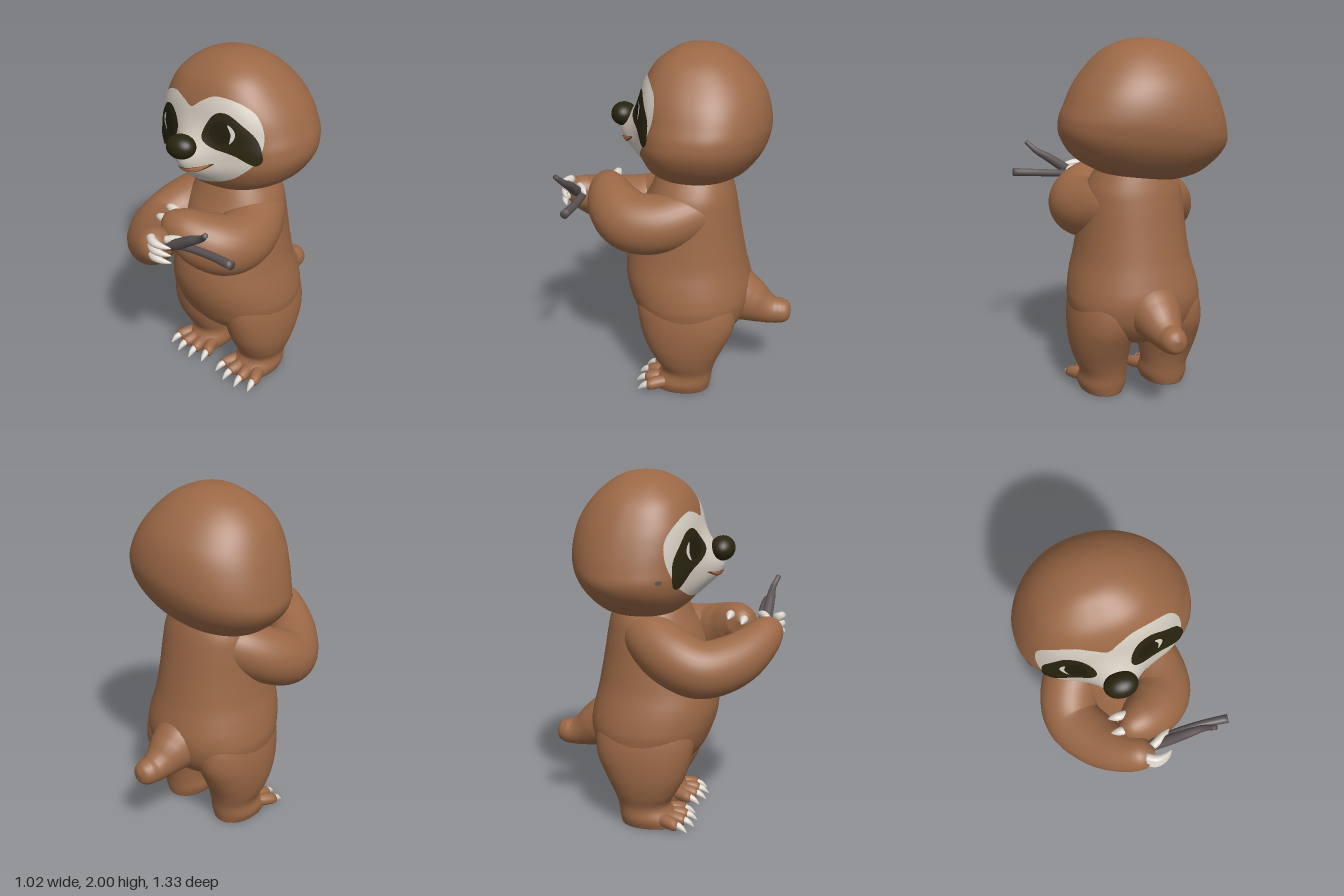
import * as THREE from 'three';

const mat = (name, color) => {
  const m = new THREE.MeshStandardMaterial({ color });
  m.name = name;
  return m;
};
const fur = mat('brown fur', 0x9b6846);
const cream = mat('cream face', 0xd2cabe);
const dark = mat('dark olive', 0x28240f);
const eyeDark = mat('eye black', 0x211e0d);
const claw = mat('claw white', 0xdcd6cc);
const wood = mat('grey wood', 0x5c5353);
const lip = mat('lip brown', 0x6e4228);
const mouth = mat('mouth orange', 0xc4835a);

const V = (x, y, z) => new THREE.Vector3(x, y, z);

function mesh(parent, name, geometry, material) {
  const m = new THREE.Mesh(geometry, material);
  m.name = name;
  parent.add(m);
  return m;
}

// Smooth interpolation between table rows, t from 0 to 1
function sample(rows, t) {
  const f = t * (rows.length - 1), i = Math.min(Math.floor(f), rows.length - 2), u = f - i;
  const at = k => rows[Math.max(0, Math.min(rows.length - 1, k))];
  return rows[0].map((_, c) => {
    const a = at(i - 1)[c], b = at(i)[c], d = at(i + 1)[c], e = at(i + 2)[c];
    const m0 = (d - a) / 2, m1 = (e - b) / 2;
    return b + u * (m0 + u * (3 * (d - b) - 2 * m0 - m1 + u * (2 * (b - d) + m0 + m1)));
  });
}

// Closed skin over a stack of rings
function skin(rings) {
  const n = rings[0].length, pos = [], idx = [];
  rings.flat().forEach(p => pos.push(p.x, p.y, p.z));
  const last = (rings.length - 1) * n, c0 = rings.length * n;
  for (const ring of [rings[0], rings[rings.length - 1]]) {
    const c = ring.reduce((s, p) => s.add(p), V(0, 0, 0)).divideScalar(n);
    pos.push(c.x, c.y, c.z);
  }
  for (let j = 0; j < n; j++) {
    const k = (j + 1) % n;
    for (let o = 0; o < last; o += n) idx.push(o + j, o + n + j, o + k, o + k, o + n + j, o + n + k);
    idx.push(c0, j, k, c0 + 1, last + k, last + j);
  }
  const g = new THREE.BufferGeometry();
  g.setAttribute('position', new THREE.Float32BufferAttribute(pos, 3));
  g.setIndex(idx);
  g.computeVertexNormals();
  return g;
}

// Upright form; rows are [y, centre x, half width, front z, back z]
function loft(rows, [frontPower, backPower], steps, sides, bump = () => 0) {
  return skin(Array.from({ length: steps + 1 }, (_, i) => {
    const [y, cx, rx, zf, zb] = sample(rows, i / steps);
    return Array.from({ length: sides }, (_, j) => {
      const a = j / sides * Math.PI * 2, s = Math.sin(a);
      const pw = v => Math.sign(v) * Math.abs(v) ** (2 / (s > 0 ? frontPower : backPower));
      const x = cx + rx * pw(Math.cos(a));
      return V(x, y, (zf + zb) / 2 + (zf - zb) / 2 * pw(s) + (s > 0 ? bump(x, y) : 0));
    });
  }));
}

// Round form along a path; points are [x, y, z, radius]
function limb(pts, steps = 40, sides = 24) {
  const curve = new THREE.CatmullRomCurve3(pts.map(p => V(p[0], p[1], p[2])));
  const fr = curve.computeFrenetFrames(steps, false);
  const squares = pts.map(p => [p[3] * p[3]]);
  return skin(Array.from({ length: steps + 1 }, (_, i) => {
    const c = curve.getPointAt(i / steps);
    const r = Math.sqrt(Math.max(1e-6, sample(squares, curve.getUtoTmapping(i / steps))[0]));
    return Array.from({ length: sides }, (_, j) => {
      const a = j / sides * Math.PI * 2;
      return c.clone().addScaledVector(fr.normals[i], r * Math.cos(a))
        .addScaledVector(fr.binormals[i], -r * Math.sin(a));
    });
  }));
}

const HEAD = [
  [-0.36, 0, 0.01, -0.09, -0.12], [-0.35, 0, 0.13, 0.02, -0.2], [-0.33, 0, 0.22, 0.08, -0.28],
  [-0.27, 0, 0.36, 0.15, -0.38], [-0.17, 0, 0.45, 0.195, -0.46], [-0.08, -0.007, 0.477, 0.2, -0.495],
  [0, -0.005, 0.458, 0.2, -0.505], [0.1, 0, 0.42, 0.2, -0.49], [0.2, 0, 0.365, 0.185, -0.45],
  [0.3, 0, 0.29, 0.135, -0.37], [0.37, 0, 0.195, 0.05, -0.28], [0.405, 0, 0.1, -0.02, -0.2],
  [0.415, 0, 0.01, -0.1, -0.13]];
const FACE_POWER = 2.45;
const muzzle = (x, y) => 0.125 * Math.exp(-((x / 0.13) ** 2) - (((y + 0.08) / 0.135) ** 2));

// Front surface of the head at a given x, y
function faceZ(x, y) {
  let lo = 0, hi = 1;
  for (let i = 0; i < 24; i++) {
    const m = (lo + hi) / 2;
    if (sample(HEAD, m)[0] < y) lo = m; else hi = m;
  }
  const [, cx, rx, zf, zb] = sample(HEAD, lo);
  const k = Math.max(0, 1 - Math.abs((x - cx) / rx) ** FACE_POWER) ** (1 / FACE_POWER);
  return (zf + zb) / 2 + (zf - zb) / 2 * k + muzzle(x, y);
}

// Painted patch that follows the face, filled outward from a centre
function patch(outline, [cx, cy], lift, side = 1) {
  const curve = new THREE.CatmullRomCurve3(outline.map(([x, y]) => V(x * side, y, 0)), true);
  const edge = curve.getPoints(90).slice(0, -1);
  if (THREE.ShapeUtils.area(edge) < 0) edge.reverse();
  const n = edge.length, rings = 16, pos = [], idx = [];
  for (let i = 0; i <= rings; i++) for (const p of edge) {
    const x = THREE.MathUtils.lerp(cx * side, p.x, i / rings), y = THREE.MathUtils.lerp(cy, p.y, i / rings);
    pos.push(x, y, faceZ(x, y) + lift);
  }
  for (let i = 0; i < rings; i++) for (let j = 0; j < n; j++) {
    const a = i * n + j, b = i * n + (j + 1) % n;
    idx.push(a, a + n, b + n);
    if (i) idx.push(a, b + n, b);
  }
  const g = new THREE.BufferGeometry();
  g.setAttribute('position', new THREE.Float32BufferAttribute(pos, 3));
  g.setIndex(idx);
  g.computeVertexNormals();
  return g;
}

const oval = (cx, cy, rx, ry) => Array.from({ length: 10 }, (_, i) =>
  [cx + rx * Math.cos(i * Math.PI / 5), cy + ry * Math.sin(i * Math.PI / 5)]);

function buildHead() {
  const head = new THREE.Group();
  head.name = 'head';
  mesh(head, 'skull', loft(HEAD, [FACE_POWER, 2.12], 72, 112, muzzle), fur);
  // Pale mask
  const half = [[0, 0.18], [0.06, 0.21], [0.143, 0.24], [0.25, 0.215], [0.34, 0.145], [0.38, 0.035],
    [0.36, -0.085], [0.264, -0.172], [0.151, -0.222], [0, -0.235]];
  const mask = [...half, ...half.slice(1, -1).reverse().map(([x, y]) => [-x, y])];
  mesh(head, 'faceMask', patch(mask, [0, 0], 0.006), cream);
  // Eye patches, eyes and their pale corners
  const spot = [[0.112, 0.105], [0.163, 0.158], [0.219, 0.16], [0.285, 0.11], [0.355, 0.022], [0.377, -0.095],
    [0.35, -0.118], [0.254, -0.064], [0.141, -0.014], [0.092, 0.04]];
  const glint = [[0.232, 0.105], [0.258, 0.085], [0.268, 0.055], [0.258, 0.025], [0.236, 0.005], [0.246, 0.055]];
  for (const s of [1, -1]) {
    const n = s > 0 ? 'left' : 'right';
    mesh(head, n + 'EyePatch', patch(spot, [0.21, 0.05], 0.01, s), dark);
    mesh(head, n + 'Eye', patch(oval(0.19, 0.062, 0.057, 0.062), [0.19, 0.062], 0.014, s), eyeDark);
    mesh(head, n + 'EyeWhite', patch(glint, [0.256, 0.055], 0.017, s), claw);
  }
  // Small grey fleck on the right cheek
  mesh(head, 'cheekFleck', patch(oval(-0.432, -0.058, 0.012, 0.012), [-0.432, -0.058], 0.008), wood);
  // Nose and smile
  const nose = mesh(head, 'nose', new THREE.SphereGeometry(1, 32, 20), dark);
  nose.scale.set(0.09, 0.066, 0.07);
  nose.position.set(0.008, -0.002, 0.317);
  const smile = k => [[-0.125, -0.096], [-0.06, -0.112], [0.01, -0.118], [0.08, -0.114], [0.15, -0.104],
    [0.085, -0.14], [0.01, -0.15], [-0.065, -0.136]].map(([x, y]) => [0.01 + (x - 0.01) * k, -0.132 + (y + 0.132) * k]);
  mesh(head, 'lips', patch(smile(1), [0.01, -0.133], 0.01), lip);
  mesh(head, 'mouth', patch(smile(0.86), [0.01, -0.133], 0.013), mouth);
  head.position.set(-0.046, 1.58, 0);
  head.rotation.z = 0.17;
  return head;
}

function buildLeg(s) {
  const leg = new THREE.Group();
  leg.name = s > 0 ? 'leftLeg' : 'rightLeg';
  const rows = [[0, 0.195, 0.118, 0.11, -0.22], [0.05, 0.195, 0.135, 0.1, -0.23], [0.12, 0.195, 0.13, 0.06, -0.24],
    [0.2, 0.205, 0.15, 0.1, -0.265], [0.3, 0.21, 0.168, 0.15, -0.31], [0.42, 0.205, 0.178, 0.185, -0.36],
    [0.54, 0.19, 0.178, 0.2, -0.365], [0.65, 0.165, 0.165, 0.18, -0.33], [0.74, 0.14, 0.14, 0.12, -0.28]];
  mesh(leg, 'thighAndFoot', loft(rows.map(r => [r[0], r[1] * s, ...r.slice(2)]), [2.15, 2.15], 44, 40), fur);
  // Four toes with curved claws
  [-0.1, -0.035, 0.035, 0.1].forEach((d, i) => {
    const x = s * (0.195 + d), f = s * d * 0.25, z = 0.12 - 3 * d * d;
    mesh(leg, 'toe' + i, limb([[x - f, 0.055, z - 0.09, 0.03], [x, 0.048, z - 0.02, 0.037],
      [x + f, 0.04, z + 0.03, 0.03], [x + f, 0.038, z + 0.045, 0.001]], 12, 14), fur);
    mesh(leg, 'toeClaw' + i, limb([[x + f / 2, 0.046, z + 0.01, 0.022], [x + f, 0.038, z + 0.05, 0.019],
      [x + f * 1.3, 0.008, z + 0.092, 0.002]], 10, 10), claw);
  });
  return leg;
}

export function createModel() {
  const model = new THREE.Group();
  model.name = 'sloth';
  model.add(buildHead(), buildLeg(1), buildLeg(-1));

  mesh(model, 'torso', loft([[0.29, 0, 0.08, 0.02, -0.2], [0.35, 0, 0.24, 0.14, -0.33], [0.44, 0, 0.35, 0.22, -0.4],
    [0.54, 0, 0.377, 0.265, -0.43], [0.62, 0, 0.37, 0.29, -0.43], [0.7, 0, 0.352, 0.3, -0.412],
    [0.8, 0, 0.325, 0.29, -0.388], [0.95, 0, 0.302, 0.25, -0.36], [1.1, 0, 0.283, 0.2, -0.335],
    [1.2, 0, 0.26, 0.15, -0.315], [1.32, 0, 0.19, 0.1, -0.28]], [2.15, 2.15], 50, 56), fur);
  mesh(model, 'tail', limb([[0, 0.56, -0.24, 0.17], [0, 0.535, -0.34, 0.16], [0, 0.5, -0.42, 0.135],
    [0, 0.462, -0.5, 0.1], [0, 0.445, -0.56, 0.08], [0, 0.447, -0.615, 0.072],
    [0, 0.455, -0.652, 0.052], [0, 0.457, -0.668, 0.001]], 48), fur);

  // Folded arms
  mesh(model, 'rightArm', limb([[-0.1, 1.13, -0.14, 0.12], [-0.19, 1.09, -0.05, 0.15], [-0.28, 1.01, 0.09, 0.16],
    [-0.295, 0.955, 0.24, 0.157], [-0.2, 0.98, 0.395, 0.148], [-0.08, 1.05, 0.51, 0.122],
    [0.03, 1.12, 0.575, 0.088], [0.09, 1.145, 0.59, 0.002]], 56, 32), fur);
  mesh(model, 'leftArm', limb([[0.06, 1.12, -0.2, 0.12], [0.14, 1.09, -0.1, 0.152], [0.215, 1.04, 0.08, 0.167],
    [0.212, 1.04, 0.23, 0.17], [0.14, 1.085, 0.33, 0.158], [0.04, 1.145, 0.395, 0.12],
    [-0.04, 1.175, 0.42, 0.068], [-0.07, 1.18, 0.42, 0.002]], 56, 32), fur);

  // Gripping claws of the right hand
  [1.19, 1.145, 1.1].forEach((y, i) => {
    mesh(model, 'fingerClaw' + i, limb([[0.03, y, 0.615, 0.024], [0.08, y, 0.638, 0.023],
      [0.13, y - 0.005, 0.63, 0.016], [0.175, y - 0.01, 0.607, 0.002]], 14, 12), claw);
  });
  mesh(model, 'thumbClaw', limb([[0.08, 1.17, 0.56, 0.022], [0.14, 1.18, 0.525, 0.022],
    [0.19, 1.17, 0.487, 0.002]], 12, 12), claw);
  // Claws of the left hand
  [[1.18, 0.44], [1.205, 0.365]].forEach(([y, z], i) => {
    mesh(model, 'leftHandClaw' + i, limb([[-0.02, y, z, 0.024], [-0.07, y + 0.01, z + 0.005, 0.023],
      [-0.118, y - 0.005, z, 0.002]], 12, 12), claw);
  });

  // Two twigs
  mesh(model, 'straightTwig', limb([[0.06, 1.13, 0.54, 0.022], [0.2, 1.155, 0.515, 0.022],
    [0.36, 1.175, 0.505, 0.022], [0.51, 1.19, 0.51, 0.024]], 20, 14), wood);
  mesh(model, 'bentTwig', limb([[0.07, 1.12, 0.55, 0.025], [0.17, 1.18, 0.55, 0.03], [0.27, 1.25, 0.555, 0.026],
    [0.35, 1.3, 0.56, 0.018], [0.405, 1.355, 0.585, 0.014]], 24, 14), wood);
  return model;
}
